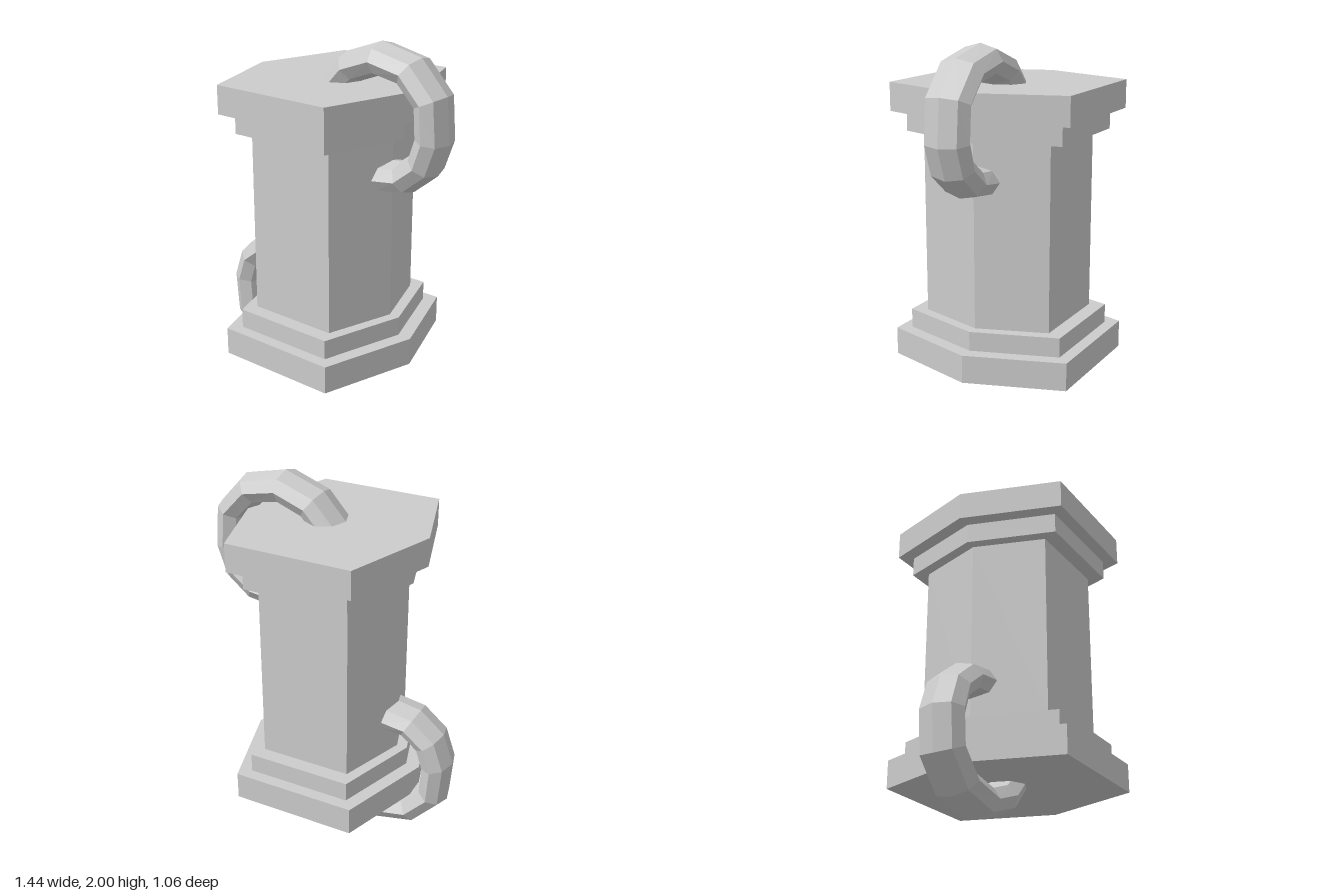
import * as THREE from 'three';

const material = new THREE.MeshStandardMaterial({ color: 0xcccccc, flatShading: true });

// Six-sided slab: flat front and back, pointed at left and right.
function hexSlab(name, flatX, pointX, halfZ, bottom, top) {
  const shape = new THREE.Shape([
    [pointX, 0], [flatX, halfZ], [-flatX, halfZ],
    [-pointX, 0], [-flatX, -halfZ], [flatX, -halfZ],
  ].map(([x, y]) => new THREE.Vector2(x, y)));
  const geometry = new THREE.ExtrudeGeometry(shape, { depth: top - bottom, bevelEnabled: false });
  geometry.rotateX(-Math.PI / 2);
  geometry.translate(0, bottom, 0);
  const mesh = new THREE.Mesh(geometry, material);
  mesh.name = name;
  return mesh;
}

// Open hook: an oval eight-sided section swept along an uneven arc.
function hookGeometry() {
  const sides = 8, halfThick = 0.087, halfWide = 0.132;
  // [angle in degrees, outer radius]
  const stations = [
    [-84, 0.392], [-60, 0.417], [-35, 0.427], [-10, 0.417], [24, 0.427],
    [56, 0.417], [91, 0.4], [126, 0.394], [154, 0.4], [168, 0.4],
  ];
  const positions = [], index = [];
  for (const [degrees, outer] of stations) {
    const t = THREE.MathUtils.degToRad(degrees);
    for (let j = 0; j < sides; j++) {
      const p = (j / sides) * Math.PI * 2;
      const r = outer - halfThick + halfThick * Math.cos(p);
      positions.push(r * Math.cos(t), r * Math.sin(t), halfWide * Math.sin(p));
    }
  }
  const last = (stations.length - 1) * sides;
  for (let base = 0; base < last; base += sides) {
    for (let j = 0; j < sides; j++) {
      const k = (j + 1) % sides;
      const a = base + j, b = a + sides, c = base + sides + k, d = base + k;
      index.push(a, b, c, a, c, d);
    }
  }
  // End caps
  for (let j = 1; j < sides - 1; j++) {
    index.push(0, j, j + 1, last, last + j + 1, last + j);
  }
  const geometry = new THREE.BufferGeometry();
  geometry.setAttribute('position', new THREE.Float32BufferAttribute(positions, 3));
  geometry.setIndex(index);
  const flat = geometry.toNonIndexed();
  flat.computeVertexNormals();
  return flat;
}

export function createModel() {
  const model = new THREE.Group();
  model.name = 'pillarWithHooks';

  // Pillar, from bottom to top
  model.add(
    hexSlab('base', 0.35, 0.52, 0.53, 0.23, 0.385),
    hexSlab('lowerCollar', 0.295, 0.442, 0.463, 0.385, 0.492),
    hexSlab('shaft', 0.257, 0.382, 0.38, 0.492, 1.51),
    hexSlab('upperCollar', 0.295, 0.442, 0.463, 1.51, 1.62),
    hexSlab('cap', 0.35, 0.52, 0.53, 1.62, 1.775),
  );

  // Two hooks, the lower one turned half a turn
  const geometry = hookGeometry();
  for (const [name, side] of [['upperHook', 1], ['lowerHook', -1]]) {
    const hook = new THREE.Mesh(geometry, material);
    hook.name = name;
    hook.position.set(0.308 * side, 1 + 0.6 * side, 0);
    hook.rotation.z = side > 0 ? 0 : Math.PI;
    model.add(hook);
  }
  return model;
}
